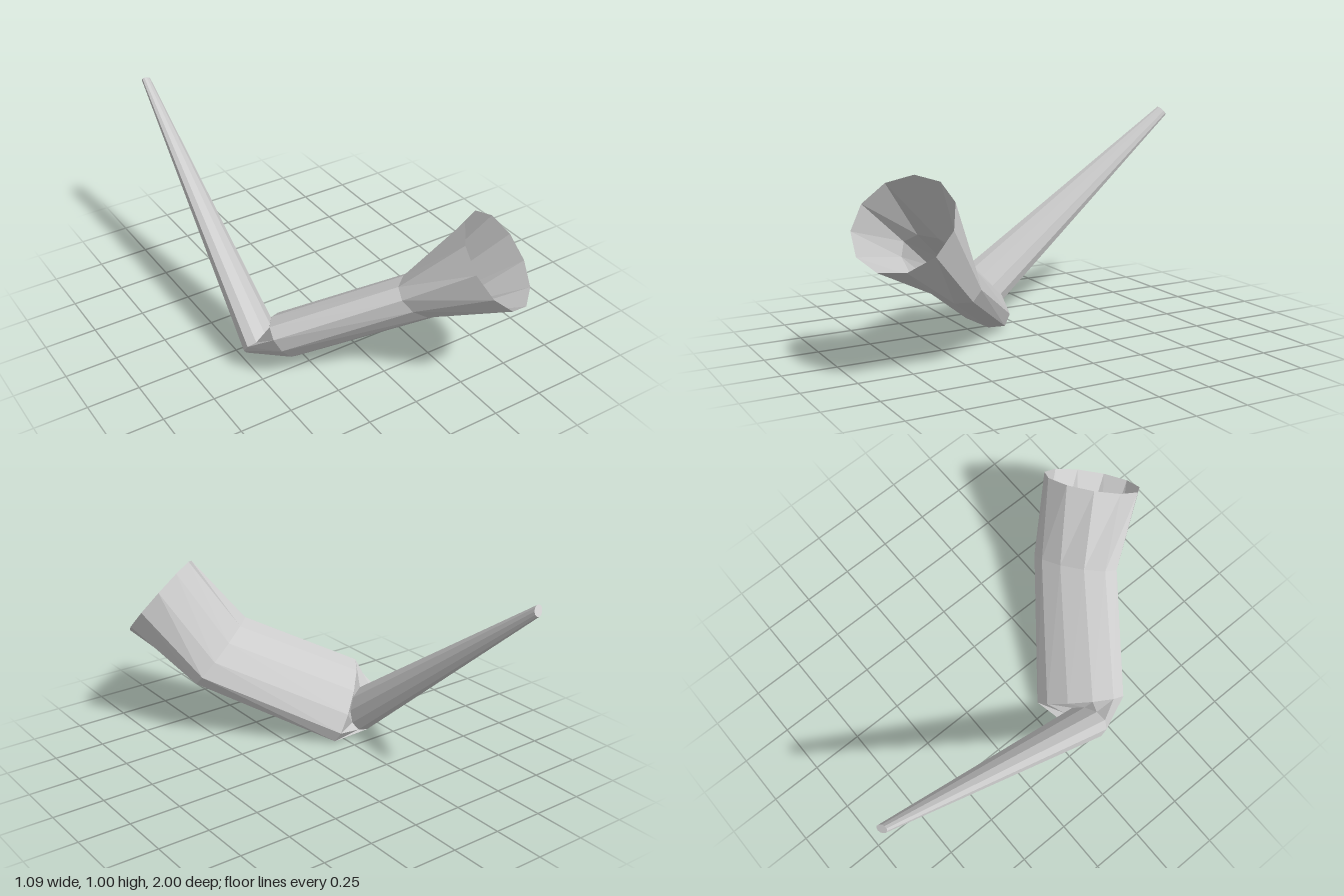
import * as THREE from 'three';

const SIDES = 11;

// Each ring is an ellipse: centre c and two half-axes u, v
const ring = (c, u, v) => {
  const [C, U, V] = [c, u, v].map((a) => new THREE.Vector3(...a));
  return Array.from({ length: SIDES }, (_, i) => {
    const t = (i / SIDES) * Math.PI * 2;
    return C.clone().addScaledVector(U, Math.cos(t)).addScaledVector(V, Math.sin(t));
  });
};

const material = new THREE.MeshStandardMaterial({
  color: 0xcccccc, flatShading: true, side: THREE.DoubleSide,
});

// Skin between two rings, with an optional cap over the first
function skin(name, a, b, capped = false) {
  const pts = [];
  for (let i = 0; i < SIDES; i++) {
    const j = (i + 1) % SIDES;
    pts.push(a[i], a[j], b[j], a[i], b[j], b[i]);
    if (capped && i > 0 && j > 0) pts.push(a[0], a[j], a[i]);
  }
  const geo = new THREE.BufferGeometry().setFromPoints(pts);
  geo.computeVertexNormals();
  const mesh = new THREE.Mesh(geo, material);
  mesh.name = name;
  return mesh;
}

export function createModel() {
  const group = new THREE.Group();
  group.name = 'bentHorn';

  const tip = ring([-0.413, 0.98, -0.983], [-0.024, 0.015, 0.011], [-0.008, -0.014, -0.011]);
  const elbowBack = ring([-0.435, 0.1, 0.145], [-0.105, 0.065, 0.048], [-0.035, -0.061, -0.047]);
  const elbowFront = ring([-0.336, 0.151, 0.195], [-0.149, 0.124, 0.14], [0.02, -0.094, 0.06]);
  const neck = ring([0.155, 0.42, 0.57], [-0.19, 0.095, 0.09], [0.018, -0.081, 0.08]);
  const mouth = ring([0.342, 0.676, 0.819], [-0.202, 0.059, 0.101], [0.029, -0.17, 0.157]);

  // Long tapering stem, sharp elbow, flattened body, open flared mouth
  group.add(
    skin('stem', tip, elbowBack, true),
    skin('elbow', elbowBack, elbowFront),
    skin('body', elbowFront, neck),
    skin('flaredMouth', neck, mouth),
  );
  return group;
}
